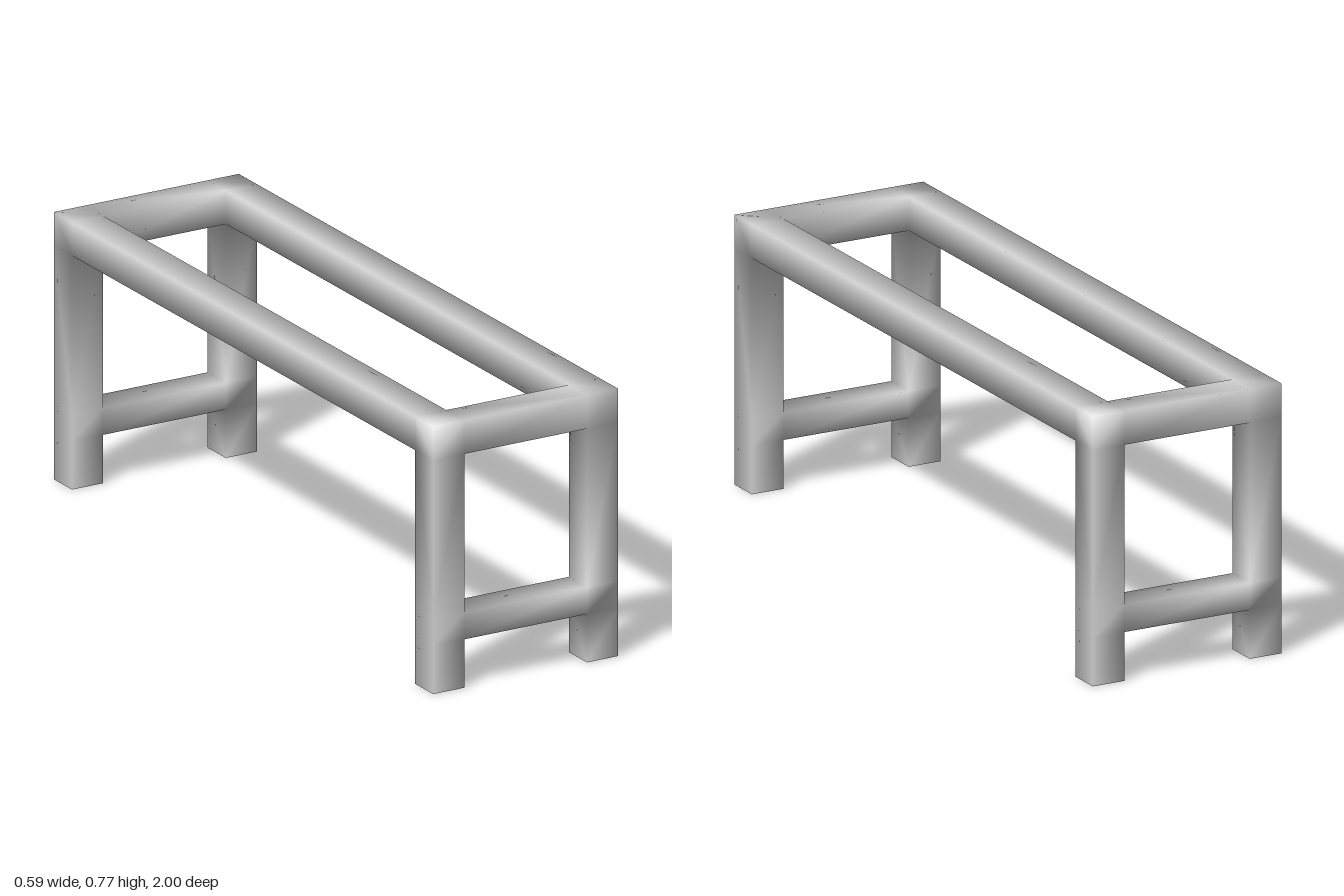
import * as THREE from 'three';

// Grid lines of the square-tube frame: [x, y, z]
const LINES = [
  [-0.294, -0.195, 0.195, 0.294],
  [0, 0.14, 0.218, 0.677, 0.774],
  [-1, -0.904, 0.904, 1],
];

// Name of the part filling a grid cell, or null where the cell is empty
function partAt(i, j, k) {
  if (i < 0 || i > 2 || j < 0 || j > 3 || k < 0 || k > 2) return null;
  const sideX = i !== 1, endZ = k !== 1;
  if (sideX && endZ) return `${k === 2 ? 'front' : 'back'}${i === 2 ? 'Left' : 'Right'}Leg`;
  if (sideX && j === 3) return i === 2 ? 'leftSeatRail' : 'rightSeatRail';
  if (endZ && j === 3) return k === 2 ? 'frontTopRail' : 'backTopRail';
  if (endZ && j === 1) return k === 2 ? 'frontStretcher' : 'backStretcher';
  return null;
}

export function createModel() {
  const group = new THREE.Group();
  group.name = 'benchFrame';
  const positions = [], vertexIds = new Map(), partFaces = new Map();

  // Shared corner points, so shading flows smoothly through the joints
  const vertex = (c) => {
    const key = c.join();
    if (!vertexIds.has(key)) {
      vertexIds.set(key, positions.length / 3);
      positions.push(...c.map((n, axis) => LINES[axis][n]));
    }
    return vertexIds.get(key);
  };

  // Outer walls of every filled cell
  for (let i = 0; i < 3; i++) for (let j = 0; j < 4; j++) for (let k = 0; k < 3; k++) {
    const part = partAt(i, j, k);
    if (!part) continue;
    if (!partFaces.has(part)) partFaces.set(part, []);
    for (let axis = 0; axis < 3; axis++) for (const side of [0, 1]) {
      const next = [i, j, k];
      next[axis] += side ? 1 : -1;
      if (partAt(...next)) continue;
      if (next[1] < 0) continue; // leg tubes are open at the floor
      const quad = [[0, 0], [1, 0], [1, 1], [0, 1]].map(([u, v]) => {
        const c = [i, j, k];
        c[axis] += side;
        c[(axis + 1) % 3] += u;
        c[(axis + 2) % 3] += v;
        return vertex(c);
      });
      if (!side) quad.reverse();
      const [a, b, c, d] = quad;
      partFaces.get(part).push(a, b, c, a, c, d);
    }
  }

  // Smooth normals over the whole frame
  const frame = new THREE.BufferGeometry();
  frame.setAttribute('position', new THREE.Float32BufferAttribute(positions, 3));
  frame.setIndex([...partFaces.values()].flat());
  frame.computeVertexNormals();

  // One mesh per leg, rail and stretcher
  const material = new THREE.MeshStandardMaterial({ color: 0xcccccc, side: THREE.DoubleSide });
  for (const [name, faces] of partFaces) {
    const shared = frame.clone();
    shared.setIndex(faces);
    const mesh = new THREE.Mesh(shared.toNonIndexed(), material);
    mesh.name = name;
    group.add(mesh);
  }
  return group;
}
